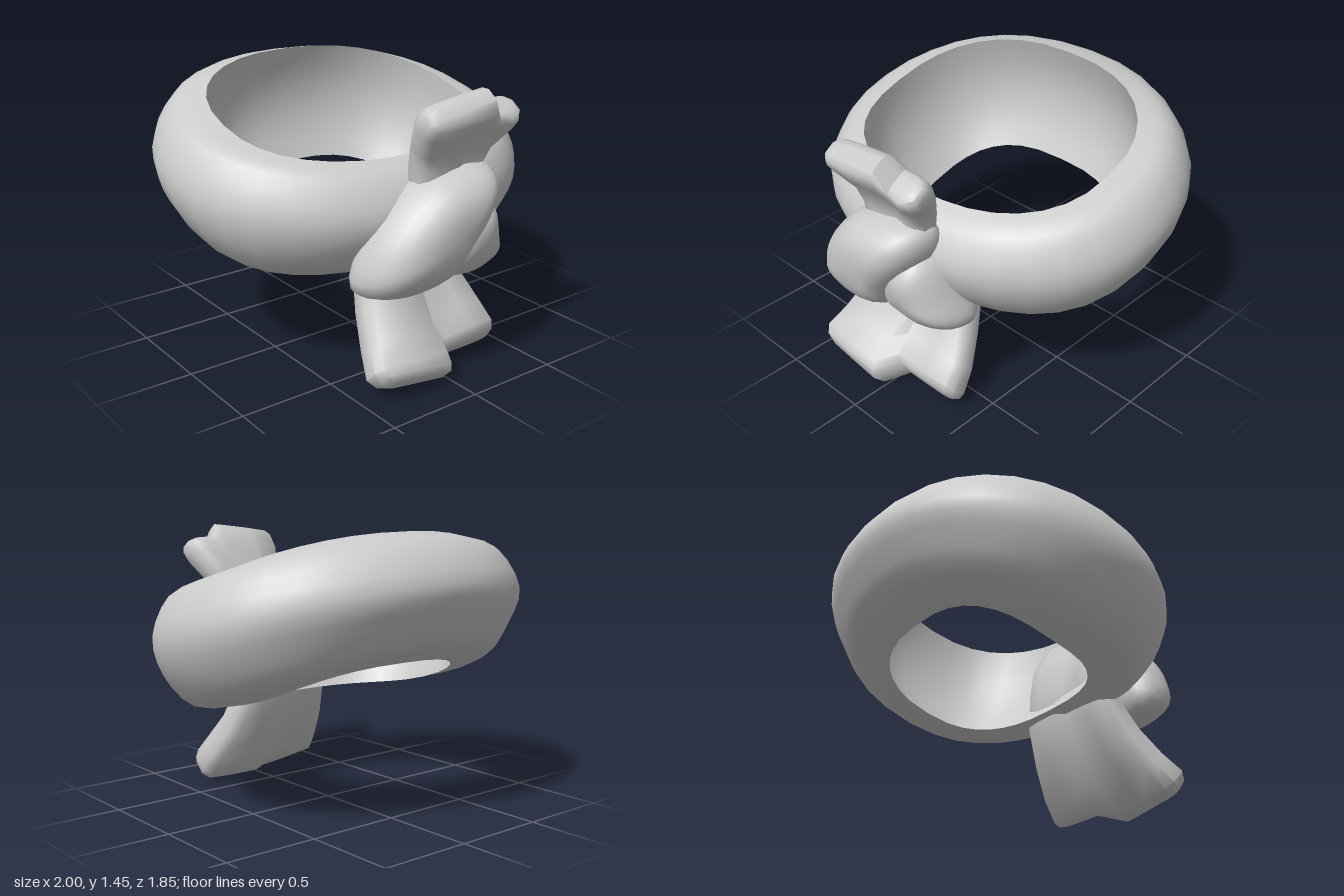
import * as THREE from 'three';
import { toCreasedNormals } from 'three/addons/utils/BufferGeometryUtils.js';

const V = (x, y, z = 0) => new THREE.Vector3(x, y, z);
const spow = (v, p) => Math.sign(v) * Math.abs(v) ** p;
const smoothCurve = (pts, closed = false) =>
  new THREE.CatmullRomCurve3(pts.map(([a, b]) => V(a, b)), closed, 'catmullrom', 0.5);

// Skin a list of closed loops; either cap the ends or join last loop to first.
function loft(name, loops, joined, crease) {
  const n = loops[0].length, m = loops.length;
  const pts = loops.flat(), idx = [];
  for (let i = 0; i < (joined ? m : m - 1); i++) {
    const a = i * n, b = ((i + 1) % m) * n;
    for (let j = 0; j < n; j++) {
      const k = (j + 1) % n;
      idx.push([a + j, a + k, b + j], [a + k, b + k, b + j]);
    }
  }
  // Caps: a strip between the two halves of the end loop
  if (!joined) {
    for (const [s, flip] of [[0, true], [(m - 1) * n, false]]) {
      for (let j = 0; j < n / 2 - 1; j++) {
        const a = s + j, b = a + 1, c = s + n - 2 - j, d = c + 1;
        idx.push(...(flip ? [[a, c, b], [a, d, c]] : [[a, b, c], [a, c, d]]));
      }
    }
  }
  // Turn the faces outward if the enclosed volume comes out negative
  let volume = 0;
  for (const [a, b, c] of idx) volume += pts[a].dot(pts[b].clone().cross(pts[c]));
  if (volume < 0) idx.forEach((t) => t.reverse());
  const geo = new THREE.BufferGeometry().setFromPoints(pts);
  geo.setIndex(idx.flat());
  const mesh = new THREE.Mesh(
    toCreasedNormals(geo, crease),
    new THREE.MeshStandardMaterial({ color: 0xcccccc, roughness: 0.8 })
  );
  mesh.name = name;
  return mesh;
}

// Band section: bulging outside from top rim to bottom rim, then hollow inside
function bandProfile(outer, [hx, hy]) {
  const out = smoothCurve(outer).getPoints(15);
  const top = out[0], bottom = out[15];
  const control = V(2 * hx - (top.x + bottom.x) / 2, 2 * hy - (top.y + bottom.y) / 2);
  const inside = new THREE.QuadraticBezierCurve3(bottom, control, top).getPoints(6);
  return [...out, ...inside.slice(1, -1)];
}

// Neck band: front, side and back profiles blended around the loop
function neckBand() {
  const front = bandProfile([[0.53, 1.11], [0.64, 1.04], [0.72, 0.87], [0.66, 0.7], [0.5, 0.55], [0.28, 0.55]], [0.46, 0.82]);
  const side = bandProfile([[0.735, 1.24], [0.9, 1.2], [1, 1.0], [0.95, 0.8], [0.8, 0.64], [0.57, 0.62]], [0.71, 0.92]);
  const back = bandProfile([[-0.6, 1.45], [-0.79, 1.4], [-0.92, 1.22], [-0.86, 1.05], [-0.76, 0.91], [-0.57, 0.81]], [-0.67, 1.12]);
  const roundness = bandProfile([[0.85, 0], [0.92, 0], [0.95, 0], [0.93, 0], [0.85, 0], [0.75, 0]], [0.82, 0]);
  const around = 32, loops = [];
  for (let i = 0; i < around; i++) {
    const a = (i / around) * Math.PI * 2;
    loops.push(front.map((f, k) => {
      const s = side[k], b = back[k], p = roundness[k].x;
      const c = spow(Math.cos(a), p);
      return V(
        s.x * spow(Math.sin(a), p),
        s.y + ((f.y - b.y) / 2) * c + ((f.y + b.y) / 2 - s.y) * c * c,
        (f.x + b.x) / 2 + ((f.x - b.x) / 2) * c
      );
    }));
  }
  return loft('neckBand', loops, true, 0.85);
}

// Knot lobe: a front outline puffed forward and backward
function knotLobe(name, outline, [cx, cy], [rimZ, tilt], frontDepth, backDepth, boxiness) {
  const rim = smoothCurve(outline, true).getPoints(36).slice(0, -1);
  const loops = [], rows = 16;
  for (let i = 0; i <= rows; i++) {
    const a = (i / rows - 0.5) * Math.PI * 0.98;
    const s = Math.cos(a) ** boxiness, h = Math.sin(a);
    loops.push(rim.map((p) => {
      const x = cx + (p.x - cx) * s, y = cy + (p.y - cy) * s;
      return V(x, y, rimZ + tilt * (y - cy) + h * (h > 0 ? frontDepth : backDepth));
    }));
  }
  return loft(name, loops, false, 0.9);
}

// Folded tail. Stations: y, z, left edge, fold, right edge, half thickness.
// The panel on +x is stepped back by [dy, dz] growing toward the tip.
function tail(name, dir, stations, foldWidth, [dy, dz], lift) {
  const loops = stations.map(([y, z, xl, xf, xr, th], i) => {
    const t = i / (stations.length - 1);
    const p = stations[Math.max(0, i - 1)], q = stations[Math.min(stations.length - 1, i + 1)];
    const len = Math.hypot(q[0] - p[0], q[1] - p[1]);
    const ny = (-dir * (q[1] - p[1])) / len, nz = (dir * (q[0] - p[0])) / len;
    const xf2 = xf + foldWidth * (0.5 + 0.5 * t), e = 0.035;
    const at = (x, w, stepped) => {
      const k = stepped ? t : 0;
      const corner = x < xf ? lift * t * (xf - x) / (xf - xl) : 0;
      return V(x, y + w * th * ny + dy * k + corner, z + w * th * nz + dz * k);
    };
    return [
      at(xl, 0.45, false), at(xl + e, 0.9, false), at((xl + xf) / 2, 1.05, false), at(xf, 1, false),
      at(xf2, 0.9, true), at((xf2 + xr) / 2, 1.05, true), at(xr - e, 0.9, true), at(xr, 0.45, true),
      at(xr, -0.45, true), at(xr - e, -0.9, true), at((xf2 + xr) / 2, -1, true), at(xf2, -1, true),
      at(xf, -1, false), at((xl + xf) / 2, -1, false), at(xl + e, -0.9, false), at(xl, -0.45, false),
    ];
  });
  return loft(name, loops, false, 0.9);
}

export function createModel() {
  const model = new THREE.Group();
  model.name = 'knottedScarf';
  model.add(neckBand());

  // Knot: wide wrap crossing over a smaller tuck
  const knot = new THREE.Group();
  knot.name = 'knot';
  knot.add(
    knotLobe('knotWrap', [
      [-0.45, 0.53], [-0.42, 0.71], [-0.3, 0.89], [-0.12, 1.04], [0.1, 1.09], [0.26, 1.07],
      [0.29, 0.97], [0.23, 0.83], [0.1, 0.65], [0, 0.5], [-0.25, 0.455],
    ], [-0.02, 0.8], [0.65, 0.12], 0.275, 0.15, 0.68),
    knotLobe('knotTuck', [
      [-0.05, 0.5], [0.1, 0.46], [0.27, 0.45], [0.42, 0.54], [0.38, 0.7], [0.28, 0.9], [0.1, 0.88], [-0.03, 0.7],
    ], [0.19, 0.69], [0.61, 0.25], 0.23, 0.15, 0.8)
  );
  model.add(knot);

  // Short tail standing up from the knot
  model.add(tail('upperTail', 1, [
    [0.98, 0.67, -0.14, 0.06, 0.25, 0.08],
    [1.1, 0.68, -0.15, 0.07, 0.27, 0.08],
    [1.2, 0.71, -0.17, 0.09, 0.3, 0.08],
    [1.32, 0.79, -0.22, 0.13, 0.36, 0.085],
    [1.38, 0.83, -0.22, 0.15, 0.37, 0.085],
    [1.415, 0.855, -0.21, 0.155, 0.36, 0.07],
    [1.435, 0.87, -0.19, 0.155, 0.34, 0.035],
  ], 0.06, [-0.08, -0.04], -0.05));

  // Wider tail running down the inside of the band and out below it
  model.add(tail('lowerTail', -1, [
    [1.0, 0.5, -0.3, -0.01, 0.3, 0.07],
    [0.87, 0.46, -0.3, -0.01, 0.3, 0.085],
    [0.7, 0.44, -0.28, -0.01, 0.28, 0.09],
    [0.53, 0.465, -0.31, -0.02, 0.3, 0.09],
    [0.35, 0.55, -0.36, -0.03, 0.34, 0.09],
    [0.2, 0.66, -0.41, -0.045, 0.39, 0.095],
    [0.1, 0.755, -0.45, -0.035, 0.41, 0.1],
    [0.065, 0.79, -0.43, -0.025, 0.4, 0.085],
    [0.04, 0.815, -0.38, -0.02, 0.37, 0.045],
  ], 0.08, [0.03, -0.14], 0.05));
  return model;
}
